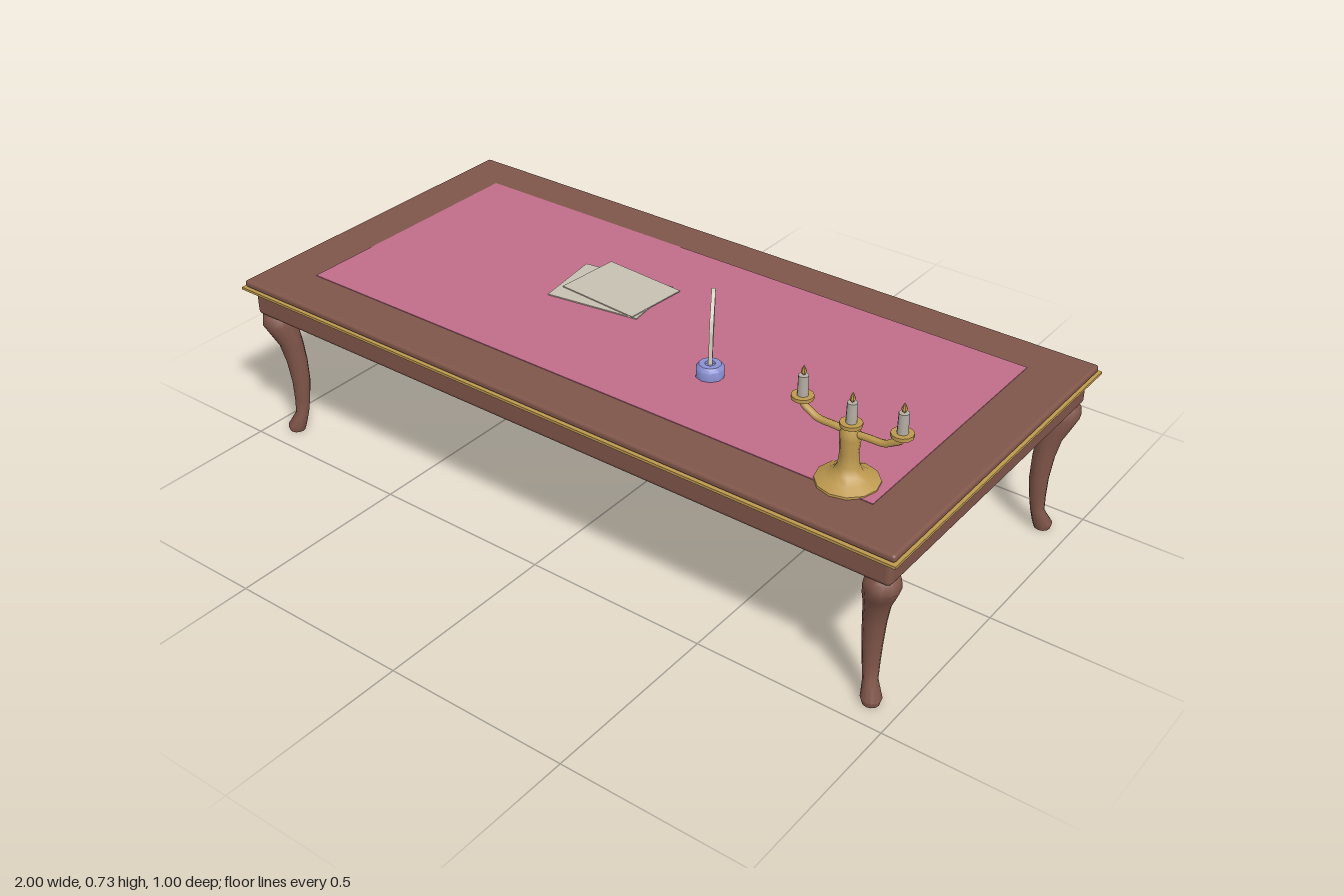
import * as THREE from 'three';
import { toCreasedNormals } from 'three/addons/utils/BufferGeometryUtils.js';
import { RoundedBoxGeometry } from 'three/addons/geometries/RoundedBoxGeometry.js';

const material = (name, color) => {
  const m = new THREE.MeshStandardMaterial({ color });
  m.name = name;
  return m;
};

export function createModel() {
  const wood = material('wood', 0x80564a);
  const leather = material('rose leather', 0xc06c89);
  const gold = material('brass', 0xbd994f);
  const paper = material('paper', 0xc6c0b0);
  const wax = material('wax', 0xb5aea4);
  const glass = material('blue glass', 0x8c91d4);
  const model = new THREE.Group();
  model.name = 'writingDesk';

  const add = (parent, name, geometry, mat, x = 0, y = 0, z = 0) => {
    const mesh = new THREE.Mesh(geometry, mat);
    mesh.name = name;
    mesh.position.set(x, y, z);
    parent.add(mesh);
    return mesh;
  };
  const box = (w, h, d) => new THREE.BoxGeometry(w, h, d);
  const lathe = (points, sides) => toCreasedNormals(
    new THREE.LatheGeometry(points.map(([r, y]) => new THREE.Vector2(r, y)), sides), 0.7);

  // Table top: moulded slab, brass edging and leather inlay
  const midZ = 0.0085;
  add(model, 'tableTop', new RoundedBoxGeometry(1.988, 0.02, 0.968, 3, 0.008), wood, 0, 0.465, midZ);
  add(model, 'brassEdging', box(2, 0.007, 0.98), gold, 0, 0.4515, midZ);
  add(model, 'topUnderlay', box(1.97, 0.006, 0.95), wood, 0, 0.446, midZ);
  add(model, 'leatherInlay', box(1.72, 0.003, 0.715), leather, 0, 0.4755, 0.0025);

  // Apron and rear drawers with knobs
  add(model, 'apron', new RoundedBoxGeometry(1.956, 0.075, 0.93, 4, 0.014), wood, 0, 0.4085, 0.01);
  const knob = lathe([[0, 0], [0.005, 0], [0.005, 0.008], [0.011, 0.013], [0.012, 0.02], [0.008, 0.026], [0, 0.028]], 12);
  for (const x of [-0.626, 0, 0.626]) {
    add(model, 'drawerFront', new RoundedBoxGeometry(0.612, 0.056, 0.03, 2, 0.006), wood, x, 0.411, -0.457);
    add(model, 'drawerKnob', knob, gold, x, 0.411, -0.471).rotation.x = -Math.PI / 2;
  }

  // Curved legs: height, outer and inner distance along each axis
  const rows = [
    [0.376, 0.972, 0.908], [0.366, 0.981, 0.901], [0.342, 0.984, 0.897], [0.31, 0.970, 0.892],
    [0.275, 0.954, 0.890], [0.22, 0.943, 0.887], [0.155, 0.936, 0.887], [0.10, 0.934, 0.892],
    [0.055, 0.934, 0.898], [0.015, 0.954, 0.903], [0, 0.950, 0.908],
  ];
  const legGeometry = (sx, sz) => {
    const n = rows.length - 1;
    const g = new THREE.CylinderGeometry(1, 1, 1, 12, n);
    const p = g.attributes.position;
    for (let i = 0; i < p.count; i++) {
      const [y, outer, inner] = rows[Math.round((0.5 - p.getY(i)) * n)];
      const c = (outer + inner) / 2;
      const r = (outer - inner) / 2;
      p.setXYZ(i, sx * c + r * p.getX(i), y, midZ + sz * (c - 0.5105) + r * p.getZ(i));
    }
    return toCreasedNormals(g, 0.8);
  };
  for (const sx of [-1, 1]) {
    for (const sz of [-1, 1]) {
      add(model, (sz > 0 ? 'front' : 'back') + (sx > 0 ? 'Left' : 'Right') + 'Leg', legGeometry(sx, sz), wood);
    }
  }

  // Two loose sheets
  add(model, 'lowerSheet', box(0.265, 0.003, 0.193), paper, -0.183, 0.4785, -0.043).rotation.y = 0.14;
  add(model, 'upperSheet', box(0.245, 0.003, 0.185), paper, -0.163, 0.483, -0.062).rotation.y = -0.08;

  // Inkwell and quill
  const ink = new THREE.Group();
  ink.name = 'inkwellAndQuill';
  ink.position.set(0.268, 0.476, 0.14);
  model.add(ink);
  add(ink, 'inkwell', lathe([[0, 0], [0.036, 0], [0.036, 0.024], [0.028, 0.034], [0.013, 0.034], [0.012, 0.028], [0, 0.028]], 10), glass);
  const vane = new THREE.Shape([
    [-0.001, 0.02], [0.004, 0.02], [0.028, 0.058], [0.056, 0.101], [0.081, 0.146], [0.094, 0.188],
    [0.084, 0.181], [0.034, 0.132], [0.0215, 0.106],
  ].map(([s, y]) => new THREE.Vector2(s, y)));
  const quill = new THREE.ExtrudeGeometry(vane, { depth: 0.01, bevelEnabled: false });
  quill.translate(0, 0, -0.005);
  add(ink, 'quill', quill, paper).rotation.y = Math.PI - Math.atan2(0.85, 0.53);

  // Three-light candelabrum
  const stand = new THREE.Group();
  stand.name = 'candelabrum';
  stand.position.set(0.767, 0.475, 0.315);
  model.add(stand);
  add(stand, 'stem', lathe([
    [0, 0], [0.076, 0], [0.075, 0.005], [0.054, 0.016], [0.034, 0.028], [0.025, 0.045], [0.022, 0.075],
    [0.025, 0.115], [0.024, 0.128], [0.017, 0.142], [0, 0.142],
  ], 12), gold);
  const cup = lathe([[0, -0.012], [0.01, -0.012], [0.014, -0.004], [0.026, -0.004], [0.026, 0.005], [0, 0.005]], 12);
  const candle = new THREE.CylinderGeometry(0.012, 0.013, 0.053, 10);
  const flame = lathe([[0, 0], [0.005, 0.005], [0.007, 0.011], [0.004, 0.019], [0, 0.027]], 8);
  for (const side of [-1, 0, 1]) {
    const x = side * 0.126;
    const y = side ? 0.17 : 0.148;
    if (side) {
      const path = new THREE.CatmullRomCurve3([
        [0.01, 0.127], [0.045, 0.129], [0.085, 0.131], [0.108, 0.143], [0.122, 0.152], [0.126, 0.168],
      ].map(([px, py]) => new THREE.Vector3(side * px, py, 0)));
      add(stand, 'arm', new THREE.TubeGeometry(path, 16, 0.0085, 8), gold);
    }
    add(stand, 'candleCup', cup, gold, x, y, 0);
    add(stand, 'candle', candle, wax, x, y + 0.0285, 0);
    add(stand, 'flame', flame, gold, x, y + 0.054, 0);
  }
  return model;
}
